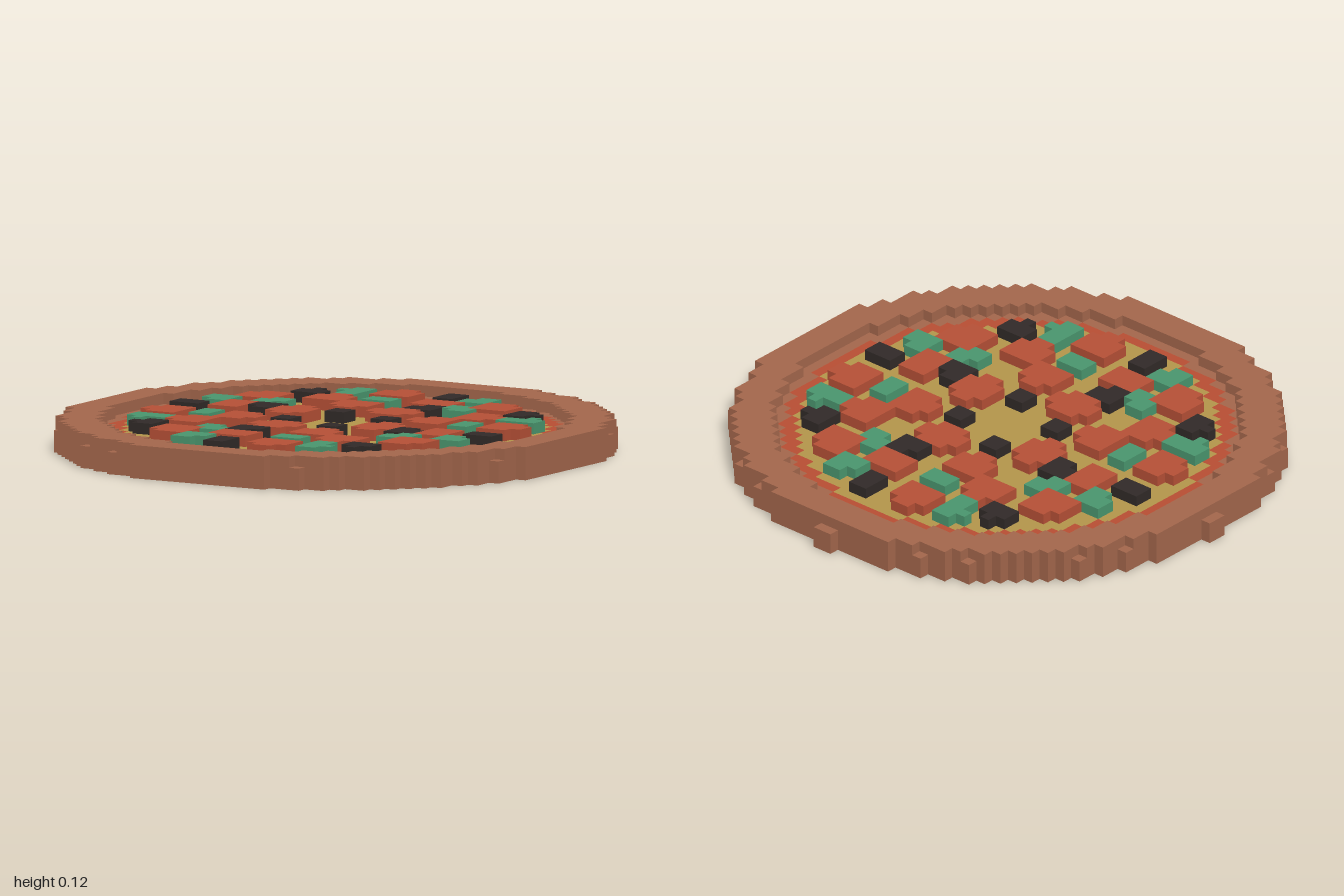
import * as THREE from 'three';
import { mergeGeometries } from 'three/addons/utils/BufferGeometryUtils.js';

const S = 2 / 49;          // size of one block
const OFFSET = S / 2;      // the disc centre sits half a block off the origin

const material = (color) => new THREE.MeshStandardMaterial({ color, flatShading: true });
const CRUST = material(0xa4674c), SAUCE = material(0xb84e33), CHEESE = material(0xb4964b);
const PEPPERONI = material(0xb65036), PEPPER = material(0x4a966e), OLIVE = material(0x312a28);

// Corners of a blocky circle: each row is as wide as the squared radius allows
function steppedCircle(r2) {
  const right = [];
  for (let v = -24; v < 24; v++) {
    let w = 0;
    while ((w + 0.5) ** 2 + (v + 0.5) ** 2 < r2) w++;
    if (w === 0) continue;
    const last = right[right.length - 1];
    if (last && last.x === w) last.y = v + 1;
    else right.push(new THREE.Vector2(w, v), new THREE.Vector2(w, v + 1));
  }
  const left = right.map((p) => new THREE.Vector2(-p.x, p.y)).reverse();
  return [...right, ...left];
}

// Put a geometry given in blocks into model units
function place(geometry) {
  return geometry.scale(S, S, S).translate(OFFSET, 0, OFFSET);
}

// Blocky disc or ring from height y0 to y1
function disc(name, mat, outer, inner, y0, y1) {
  const shape = new THREE.Shape(steppedCircle(outer));
  if (inner) shape.holes.push(new THREE.Path(steppedCircle(inner)));
  const geo = new THREE.ExtrudeGeometry(shape, { depth: y1 - y0, bevelEnabled: false });
  geo.rotateX(-Math.PI / 2).translate(0, y0, 0);
  const mesh = new THREE.Mesh(place(geo), mat);
  mesh.name = name;
  return mesh;
}

// Box over the block rectangle x0..x1, z0..z1
function block([x0, x1, z0, z1], y0, y1) {
  return new THREE.BoxGeometry(x1 - x0, y1 - y0, z1 - z0)
    .translate((x0 + x1) / 2, (y0 + y1) / 2, (z0 + z1) / 2);
}

// Toppings of one quarter: each piece is a few rectangles [x0, x1, z0, z1]
const toppings = [
  { name: 'pepperoni', mat: PEPPERONI, pieces: [
    [[-5, -1, -17, -14], [-4, -2, -18, -17]],
    [[-9, -5, -12, -9], [-8, -6, -13, -12]],
    [[-5, -1, -10, -7], [-4, -2, -7, -6]],
    [[-15, -11, -10, -7], [-14, -11, -11, -10]],
    [[-14, -11, -5, -1]],
    [[-8, -4, -4, -1], [-7, -5, -5, -4], [-7, -5, -1, 0]],
  ] },
  { name: 'olive', mat: OLIVE, pieces: [
    [[-12, -9, -14, -12], [-11, -10, -15, -14]],
    [[-11, -8, -5, -3], [-10, -8, -3, -2]],
    [[-3, -1, -5, -3]],
    [[-18, -15, -3, -1]],
  ] },
  { name: 'greenPepper', mat: PEPPER, pieces: [
    [[-9, -6, -16, -15], [-8, -6, -17, -16], [-8, -6, -15, -13]],
    [[-4, -1, -13, -11]],
    [[-17, -14, -7, -5], [-16, -14, -5, -4]],
    [[-12, -9, -7, -6], [-11, -9, -8, -7], [-12, -10, -6, -5]],
  ] },
];

export function createModel() {
  const pizza = new THREE.Group();
  pizza.name = 'pizza';

  // Dough, raised rim and the flat fillings inside it
  pizza.add(
    disc('doughBase', CRUST, 595.5, 0, 0, 1),
    disc('crustRim', CRUST, 595.5, 445, 1, 3),
    disc('innerCrust', CRUST, 445, 400, 1, 2),
    disc('sauceRing', SAUCE, 400, 361, 1, 2),
    disc('cheese', CHEESE, 361, 0, 1, 2),
  );

  // Low bumps around the outer edge
  const bumps = [[-25, -24, -1, 1], [-1, 1, -25, -24]];
  for (const sx of [-1, 1]) for (const sz of [-1, 1]) {
    const spots = [[9.5, 22.5], [22.5, 9.5]];
    if (sx + sz < 2) spots.push([13.5, 20.5], [20.5, 13.5]);
    for (const [x, z] of spots) {
      bumps.push([sx * x - 0.5, sx * x + 0.5, sz * z - 0.5, sz * z + 0.5]);
    }
  }
  const edge = new THREE.Mesh(place(mergeGeometries(bumps.map((b) => block(b, 0, 2)))), CRUST);
  edge.name = 'crustBumps';
  pizza.add(edge);

  // Toppings, repeated for the four quarters
  for (const { name, mat, pieces } of toppings) {
    const group = new THREE.Group();
    group.name = name + 'Pieces';
    for (let q = 0; q < 4; q++) for (const rects of pieces) {
      const geo = mergeGeometries(rects.map((r) => block(r, 2, 3)));
      const mesh = new THREE.Mesh(place(geo.rotateY(-q * Math.PI / 2)), mat);
      mesh.name = name;
      group.add(mesh);
    }
    pizza.add(group);
  }
  return pizza;
}
